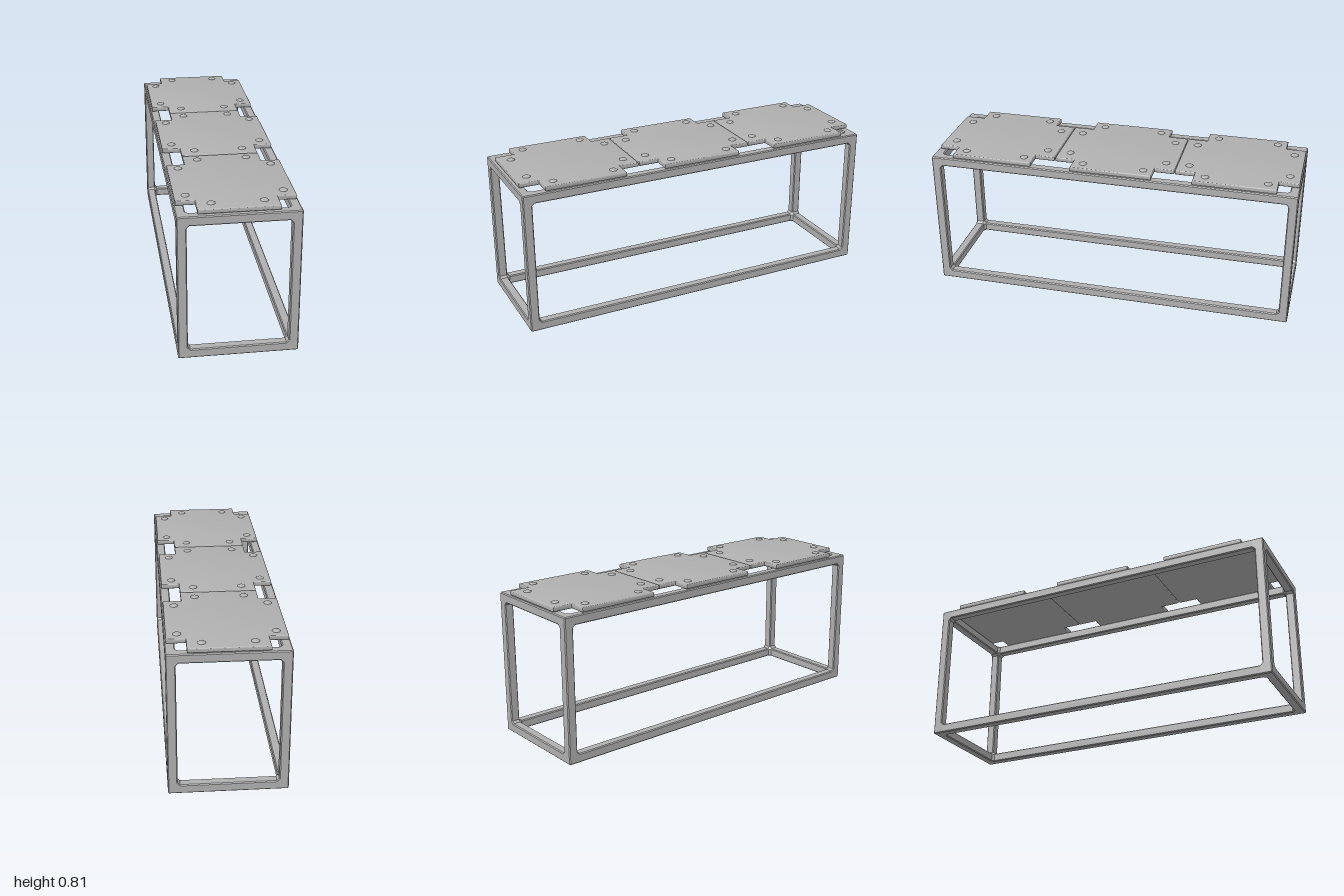
import * as THREE from 'three';
import { toCreasedNormals } from 'three/addons/utils/BufferGeometryUtils.js';
import { ConvexGeometry } from 'three/addons/geometries/ConvexGeometry.js';

const SIZE = [0.606, 0.776, 2];   // outer size of the frame
const T = 0.049;                  // bar thickness
const B = 0.005;                  // bar edge chamfer
const GUSSET = 0.012;             // inner corner chamfer length

// Chamfered square section of a bar along one axis, measured from an outer corner
function ring(axis, d) {
  const e = T - B;
  const section = [[B, 0], [e, 0], [T, B], [T, e], [e, T], [B, T], [0, e], [0, B]];
  return section.map(([u, v]) => {
    const p = [0, 0, 0];
    p[axis] = d;
    p[(axis + 1) % 3] = u;
    p[(axis + 2) % 3] = v;
    return p;
  });
}

// Convex solid from corner-relative points, mirrored into the given corner
function solid(points, signs) {
  return new ConvexGeometry(points.map((p) => new THREE.Vector3(
    ...p.map((c, i) => signs[i] * (SIZE[i] / 2 - c)))).map((v) => v.setY(v.y + SIZE[1] / 2)));
}

// Cross-shaped plate outline with notched corners
function plateShape(inset) {
  const nx = 0.2 - inset, wx = 0.295 - inset, nz = 0.328 - inset, wz = 0.221 - inset;
  const quarter = [[wx, wz], [nx, wz], [nx, nz]];
  const pts = [];
  for (const [sx, sz] of [[1, 1], [-1, 1], [-1, -1], [1, -1]]) {
    const q = quarter.map(([x, z]) => new THREE.Vector2(x * sx, z * sz));
    pts.push(...(sx * sz > 0 ? q : q.reverse()));
  }
  return new THREE.Shape(pts);
}

export function createModel() {
  const model = new THREE.Group();
  model.name = 'plankedFrame';
  const steel = new THREE.MeshStandardMaterial({ color: 0xb0b0b0 });
  steel.name = 'grey steel';

  const add = (parent, geometry, name) => {
    const mesh = new THREE.Mesh(geometry, steel);
    mesh.name = name;
    parent.add(mesh);
    return mesh;
  };

  // Open box frame: eight corner joints and twelve bars
  const frame = new THREE.Group();
  frame.name = 'frame';
  model.add(frame);
  const end = T + GUSSET;
  for (const sx of [-1, 1]) for (const sy of [-1, 1]) for (const sz of [-1, 1]) {
    const points = [0, 1, 2].flatMap((a) => [...ring(a, B), ...ring(a, end)]);
    add(frame, solid(points, [sx, sy, sz]), 'cornerJoint');
  }
  const barNames = ['crossBar', 'post', 'longRail'];
  for (let axis = 0; axis < 3; axis++) {
    for (const s of [-1, 1]) for (const t of [-1, 1]) {
      const signs = [1, 1, 1];
      signs[(axis + 1) % 3] = s;
      signs[(axis + 2) % 3] = t;
      add(frame, solid([...ring(axis, end), ...ring(axis, SIZE[axis] - end)], signs), barNames[axis]);
    }
  }

  // Three riveted top plates
  const bevel = 0.006;
  const plateGeo = toCreasedNormals(new THREE.ExtrudeGeometry(plateShape(bevel), {
    depth: 0.026 - 2 * bevel, bevelSize: bevel, bevelThickness: bevel, bevelSegments: 3,
  }).rotateX(-Math.PI / 2).translate(0, bevel, 0), 0.7);
  const rivetGeo = new THREE.SphereGeometry(0.021, 16, 5, 0, Math.PI * 2, 0, Math.PI / 2)
    .scale(1, 0.42, 1);

  for (const z of [-0.667, -0.007, 0.655]) {
    const panel = new THREE.Group();
    panel.name = 'topPanel';
    panel.position.set(0, 0.778, z);
    model.add(panel);
    add(panel, plateGeo, 'plate');
    for (const [x, dz] of [[0.128, 0.267], [0.24, 0.165]]) {
      for (const sx of [-1, 1]) for (const sz of [-1, 1]) {
        add(panel, rivetGeo, 'rivet').position.set(x * sx, 0.0255, dz * sz - 0.004);
      }
    }
  }
  return model;
}
